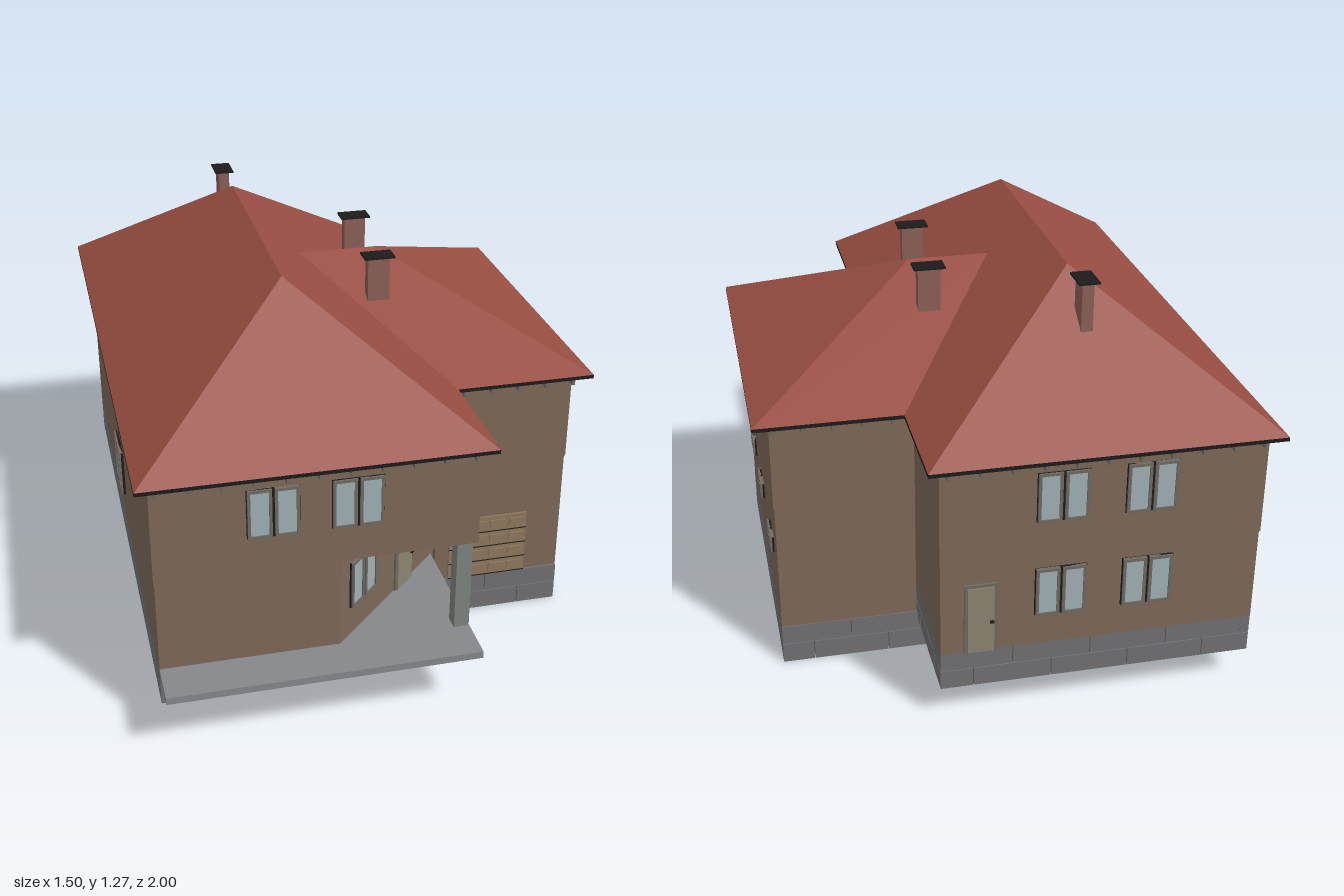
import * as THREE from 'three';

const paint = (color, extra = {}) => new THREE.MeshStandardMaterial({ color, ...extra });
const MAT = {
  wall: paint(0x7d6858), inner: paint(0x7a5548), stone: paint(0x707072), slab: paint(0x85878a),
  plain: paint(0xcccccc), glass: paint(0x9fb0b4), frame: paint(0x6f6a62), dark: paint(0x1c1a1a),
  door: paint(0x8a8470), garage: paint(0x8d775c), pillar: paint(0x7d837e), brick: paint(0x8a6055),
  roof: paint(0x984d41, { flatShading: true, side: THREE.DoubleSide }),
};

// Plan outlines as [x, z], running front edge first, then right, back, left
const UPPER = [[-0.715, 0.865], [0.262, 0.865], [0.262, -0.955], [-0.715, -0.955]];
const LOWER = [[-0.712, 0.862], [-0.162, 0.862], [0.26, 0.44], [0.26, -0.952], [-0.712, -0.952]];
const WING = [[0.262, 0.46], [0.698, 0.46], [0.698, -0.57], [0.262, -0.57]];
const WING_BASE = [[0.22, 0.465], [0.695, 0.465], [0.695, -0.57], [0.22, -0.57]];
const EAVES = [[-0.755, 0.905], [0.3, 0.905], [0.3, 0.51], [0.75, 0.51],
  [0.75, -0.63], [0.3, -0.63], [0.3, -1], [-0.755, -1]];
const SOFFIT = [[-0.74, 0.89], [0.285, 0.89], [0.285, 0.495], [0.735, 0.495],
  [0.735, -0.615], [0.285, -0.615], [0.285, -0.985], [-0.74, -0.985]];

function box(parent, name, w, h, d, x, y, z, mat) {
  const m = new THREE.Mesh(new THREE.BoxGeometry(w, h, d), mat);
  m.name = name;
  m.position.set(x, y, z);
  parent.add(m);
  return m;
}

function group(parent, name) {
  const g = new THREE.Group();
  g.name = name;
  parent.add(g);
  return g;
}

// Boxes along a line from a to b, on its inner side, split at the given distances
function run(parent, name, a, b, y0, y1, t, mat, cuts = [], gap = 0) {
  const dx = b[0] - a[0], dz = b[1] - a[1], len = Math.hypot(dx, dz);
  const ux = dx / len, uz = dz / len;
  const stops = [0, ...cuts.filter((c) => c > 0.03 && c < len - 0.03), len];
  for (let i = 0; i < stops.length - 1; i++) {
    const mid = (stops[i] + stops[i + 1]) / 2;
    const m = box(parent, name, stops[i + 1] - stops[i] - gap, y1 - y0 - gap, t,
      a[0] + ux * mid + uz * t / 2, (y0 + y1) / 2, a[1] + uz * mid - ux * t / 2, mat);
    m.rotation.y = Math.atan2(-dz, dx);
  }
}

const edges = (pts, fn) => pts.forEach((p, i) => fn(p, pts[(i + 1) % pts.length]));

function walls(parent, name, pts, y0, y1) {
  const g = group(parent, name);
  edges(pts, (a, b) => run(g, name + 'Side', a, b, y0, y1, 0.02, MAT.wall));
}

// Two staggered courses of stone blocks
function courses(parent, a, b, y0, y1) {
  const mid = (y0 + y1) / 2;
  [[y0, mid, 0.1], [mid, y1, 0.22]].forEach(([lo, hi, first]) => {
    const cuts = Array.from({ length: 9 }, (_, i) => first + i * 0.24);
    run(parent, 'foundationBlock', a, b, lo, hi, 0.06, MAT.stone, cuts, 0.003);
  });
}

// Flat plate cut to a plan outline
function plate(parent, name, pts, y0, y1, mat) {
  const shape = new THREE.Shape(pts.map(([x, z]) => new THREE.Vector2(x, -z)));
  const geo = new THREE.ExtrudeGeometry(shape, { depth: y1 - y0, bevelEnabled: false });
  geo.rotateX(-Math.PI / 2);
  const m = new THREE.Mesh(geo, mat);
  m.name = name;
  m.position.y = y0;
  parent.add(m);
}

// Two-casement window facing +z, turned to the wall
function windowUnit(parent, x, y, z, turn, w, h) {
  const g = group(parent, 'window');
  g.position.set(x, y, z);
  g.rotation.y = turn;
  box(g, 'windowRecess', w, h, 0.008, 0, 0, 0, MAT.dark);
  const cw = w / 2 - 0.006, f = Math.min(0.009, h * 0.14);
  for (const s of [-1, 1]) {
    const cx = s * (cw / 2 + 0.004);
    box(g, 'glass', cw - f, h - f, 0.006, cx, 0, 0.003, MAT.glass);
    for (const e of [-1, 1]) {
      box(g, 'casementStile', f, h, 0.012, cx + e * (cw - f) / 2, 0, 0.004, MAT.frame);
      box(g, 'casementRail', cw, f, 0.012, cx, e * (h - f) / 2, 0.004, MAT.frame);
    }
  }
}

function doorUnit(parent, x, z, turn, w) {
  const g = group(parent, 'door');
  g.position.set(x, 0.352, z);
  g.rotation.y = turn;
  box(g, 'doorFrame', w, 0.235, 0.01, 0, 0, 0, MAT.frame);
  box(g, 'doorLeaf', w - 0.02, 0.222, 0.014, 0, -0.004, 0.002, MAT.door);
  box(g, 'doorHandle', 0.012, 0.006, 0.012, w * 0.32, -0.01, 0.012, MAT.dark);
}

function chimney(parent, x, z, w, d, y0, y1) {
  const g = group(parent, 'chimney');
  box(g, 'chimneyStack', w, y1 - y0, d, x, (y0 + y1) / 2, z, MAT.brick);
  box(g, 'chimneyCap', w + 0.028, 0.006, d + 0.028, x, y1 + 0.003, z, MAT.dark);
}

function roofPlanes(parent, name, faces) {
  const pos = [];
  for (const f of faces) {
    for (let i = 1; i < f.length - 1; i++) pos.push(...f[0], ...f[i], ...f[i + 1]);
  }
  const geo = new THREE.BufferGeometry();
  geo.setAttribute('position', new THREE.Float32BufferAttribute(pos, 3));
  geo.computeVertexNormals();
  const m = new THREE.Mesh(geo, MAT.roof);
  m.name = name;
  parent.add(m);
}

export function createModel() {
  const house = new THREE.Group();
  house.name = 'house';

  // Foundations: outer rings and strips under the inner walls
  const base = group(house, 'foundation');
  edges(LOWER, (a, b) => courses(base, a, b, 0.11, 0.237));
  edges(WING_BASE, (a, b) => courses(base, a, b, 0, 0.135));
  const partitions = [[[-0.7, 0.25], [0.25, 0.25]], [[-0.7, -0.3], [0.25, -0.3]], [[-0.2, -0.3], [-0.2, -0.94]]];
  for (const [a, b] of partitions) {
    courses(base, a, b, 0.11, 0.237);
    run(house, 'innerWall', a, b, 0.235, 0.54, 0.02, MAT.inner);
  }

  // Walls, storey by storey
  walls(house, 'lowerWalls', LOWER, 0.235, 0.54);
  walls(house, 'upperWalls', UPPER, 0.54, 0.87);
  walls(house, 'wingLowerWalls', WING.map(([x, z]) => [x > 0.5 ? x - 0.003 : x, z * 0.994]), 0.13, 0.56);
  walls(house, 'wingUpperWalls', WING, 0.56, 0.87);
  plate(house, 'mainCeiling', UPPER.map(([x, z]) => [x * 0.995, z * 0.997]), 0.541, 0.555, MAT.plain);
  plate(house, 'wingCeiling', WING.map(([x, z]) => [x - 0.003, z * 0.99]), 0.561, 0.575, MAT.plain);

  // Porch
  plate(house, 'porchSlab', [[-0.712, 1], [0.248, 1], [0.248, 0.45], [-0.172, 0.862], [-0.712, 0.862]], 0.215, 0.238, MAT.slab);
  box(house, 'porchPillar', 0.048, 0.304, 0.048, 0.222, 0.389, 0.838, MAT.pillar);

  // Windows
  const Q = Math.PI / 2;
  for (const x of [-0.362, -0.112]) windowUnit(house, x, 0.738, 0.867, 0, 0.156, 0.16);
  for (const y of [0.42, 0.738]) {
    for (const x of [-0.1, -0.365]) windowUnit(house, x, y, -0.956, 2 * Q, 0.156, 0.16);
    windowUnit(house, -0.716, y, -0.08, -Q, 0.175, 0.16);
  }
  windowUnit(house, 0.7, 0.738, -0.055, Q, 0.188, 0.16);
  for (const z of [0.262, -0.045, -0.392]) windowUnit(house, 0.697, 0.37, z, Q, 0.125, 0.052);
  windowUnit(house, -0.071, 0.418, 0.773, Q / 2, 0.15, 0.16);

  // Doors
  doorUnit(house, 0.11, 0.592, Q / 2, 0.11);
  doorUnit(house, 0.14, -0.954, 2 * Q, 0.1);
  const garage = group(house, 'garageDoor');
  box(garage, 'garageLeaf', 0.268, 0.225, 0.014, 0.442, 0.248, 0.458, MAT.garage);
  for (let r = 0; r < 4; r++) {
    box(garage, 'garageSeam', 0.268, 0.003, 0.002, 0.442, 0.136 + r * 0.056, 0.4655, MAT.dark);
    for (let c = 0; c < 4; c++) {
      box(garage, 'garagePanel', 0.052, 0.028, 0.01, 0.345 + c * 0.065, 0.165 + r * 0.056, 0.465, MAT.garage);
    }
  }

  // Eaves with fascia, soffit and rafter tails
  plate(house, 'fascia', EAVES, 0.862, 0.874, MAT.dark);
  plate(house, 'soffit', SOFFIT, 0.855, 0.863, MAT.wall);
  const tails = group(house, 'rafterTails');
  edges(SOFFIT, (a, b) => {
    const dx = b[0] - a[0], dz = b[1] - a[1], len = Math.hypot(dx, dz), n = Math.round(len / 0.09);
    for (let i = 0; i < n; i++) {
      const k = (i + 0.5) / n;
      const m = box(tails, 'rafterTail', 0.01, 0.02, 0.03, a[0] + dx * k + dz / len * 0.015, 0.847,
        a[1] + dz * k - dx / len * 0.015, MAT.frame);
      m.rotation.y = Math.atan2(-dz, dx);
    }
  });

  // Hipped roofs; the wing roof runs into the main slope along two valleys
  const E = 0.874;
  const fl = [-0.755, E, 0.905], fr = [0.3, E, 0.905], br = [0.3, E, -1], bl = [-0.755, E, -1];
  const rf = [-0.23, 1.252, 0.38], rb = [-0.23, 1.252, -0.475];
  roofPlanes(house, 'mainRoof', [[fl, fr, rf], [fr, br, rb, rf], [br, bl, rb], [bl, fl, rf, rb]]);
  const wf = [0.75, E, 0.51], wb = [0.75, E, -0.63], vf = [0.3, E, 0.51], vb = [0.3, E, -0.63];
  const ridge = [0.18, 1.146, -0.06], join = [-0.08, 1.146, -0.06];
  roofPlanes(house, 'wingRoof', [[vf, wf, ridge, join], [wf, wb, ridge], [wb, vb, join, ridge]]);

  // Chimneys
  chimney(house, -0.238, -0.635, 0.036, 0.072, 1.1, 1.262);
  chimney(house, 0.153, -0.25, 0.072, 0.036, 1.0, 1.188);
  chimney(house, 0.135, 0.137, 0.072, 0.036, 1.0, 1.19);

  return house;
}
